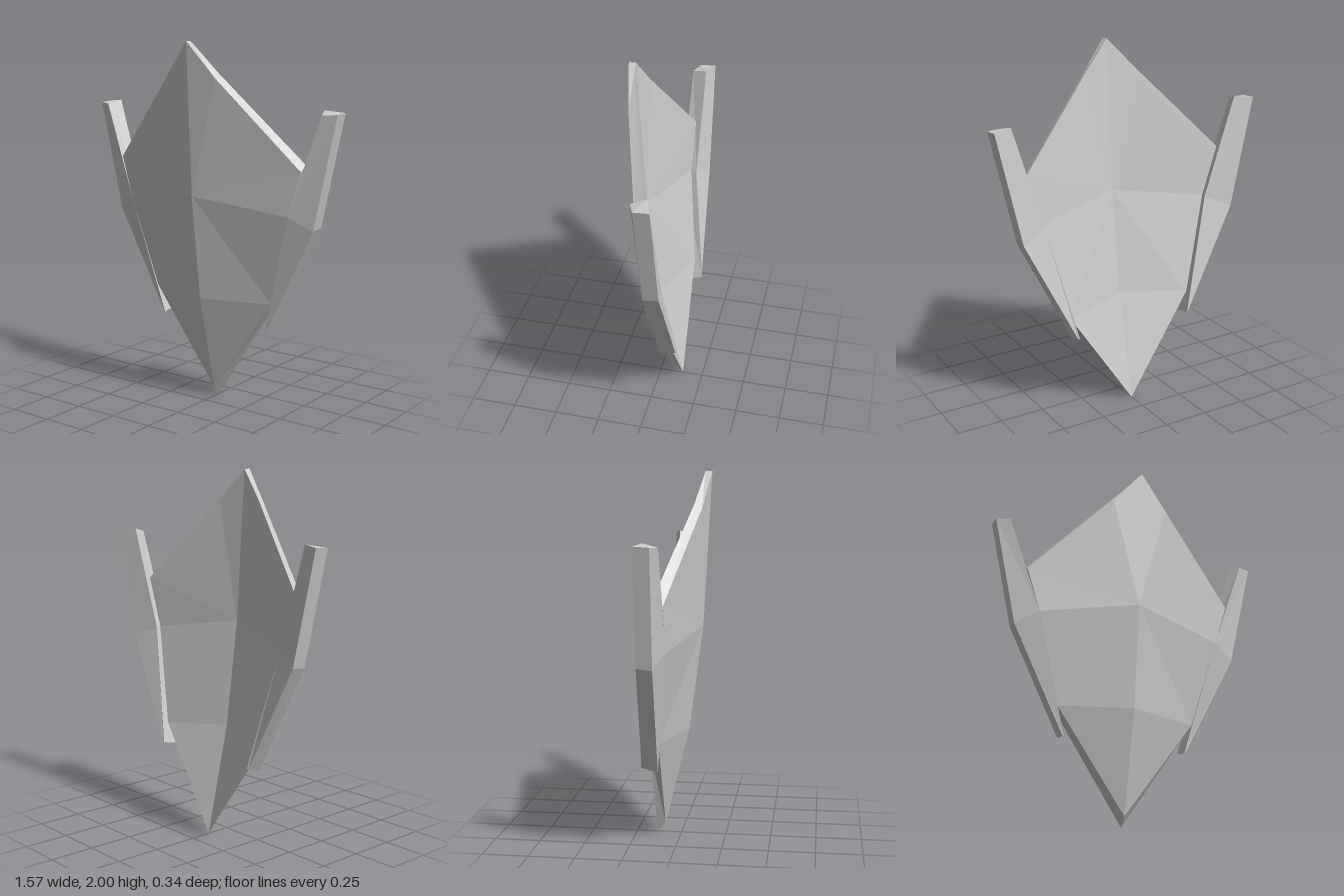
import * as THREE from 'three';

const material = new THREE.MeshStandardMaterial({ color: 0xcccccc, flatShading: true });

// Mirror triangles across x = 0, keeping them facing outwards
const mirror = (tris) => tris.map((t) => t.map(([x, y, z]) => [-x, y, z]).reverse());
const quad = (a, b, c, d) => [[a, b, c], [a, c, d]];

function facetMesh(name, tris) {
  const geometry = new THREE.BufferGeometry();
  geometry.setAttribute('position', new THREE.Float32BufferAttribute(tris.flat(2), 3));
  geometry.computeVertexNormals();
  const mesh = new THREE.Mesh(geometry, material);
  mesh.name = name;
  return mesh;
}

// One face of the plate: half rim from bottom to top, fanned from the boss on the ridge
function plateFace(rim, keel, boss) {
  const tris = [[rim[0], rim[1], keel], [keel, rim[1], boss]];
  for (let i = 1; i < rim.length - 1; i++) tris.push([boss, rim[i], rim[i + 1]]);
  return tris;
}

function createPlate() {
  const front = [[0, 0.05, -0.09], [0.39, 0.6, -0.07], [0.525, 1.1, -0.01],
    [0.6, 1.34, -0.015], [0.16, 1.81, 0.128], [0, 2, 0.165]];
  const back = [[0, 0, -0.135], [0.375, 0.565, -0.118], [0.51, 1.1, -0.06],
    [0.595, 1.375, -0.065], [0.16, 1.83, 0.088], [0, 2, 0.128]];
  const half = [
    ...plateFace(front, [0, 0.6, 0.045], [0, 1.18, 0.12]),
    ...plateFace(back, [0, 0.6, 0], [0, 1.18, 0.075]).map((t) => t.reverse()),
  ];
  // rim wall
  for (let i = 0; i < front.length - 1; i++) {
    half.push(...quad(front[i], back[i], back[i + 1], front[i + 1]));
  }
  return facetMesh('shieldPlate', [...half, ...mirror(half)]);
}

// Side blade lofted from tip to top; corners: outer front, outer back, inner back, inner front
function bladeTriangles() {
  const sections = [
    [[0.353, 0.44, -0.08], [0.356, 0.46, -0.165], [0.347, 0.46, -0.17], [0.348, 0.44, -0.08]],
    [[0.65, 1.03, -0.06], [0.65, 1.04, -0.142], [0.505, 1.1, -0.09], [0.525, 1.1, -0.01]],
    [[0.785, 1.64, -0.05], [0.785, 1.645, -0.133], [0.68, 1.655, -0.1], [0.71, 1.635, -0.02]],
  ];
  const tris = [];
  for (let s = 0; s < sections.length - 1; s++) {
    const a = sections[s], b = sections[s + 1];
    for (let j = 0; j < 4; j++) {
      const k = (j + 1) % 4;
      tris.push(...quad(a[j], a[k], b[k], b[j]));
    }
  }
  tris.push(...quad(...sections[2]), ...quad(...[...sections[0]].reverse()));
  return tris;
}

export function createModel() {
  const group = new THREE.Group();
  group.name = 'shield';
  const blade = bladeTriangles();
  group.add(createPlate(), facetMesh('leftBlade', blade), facetMesh('rightBlade', mirror(blade)));
  return group;
}
